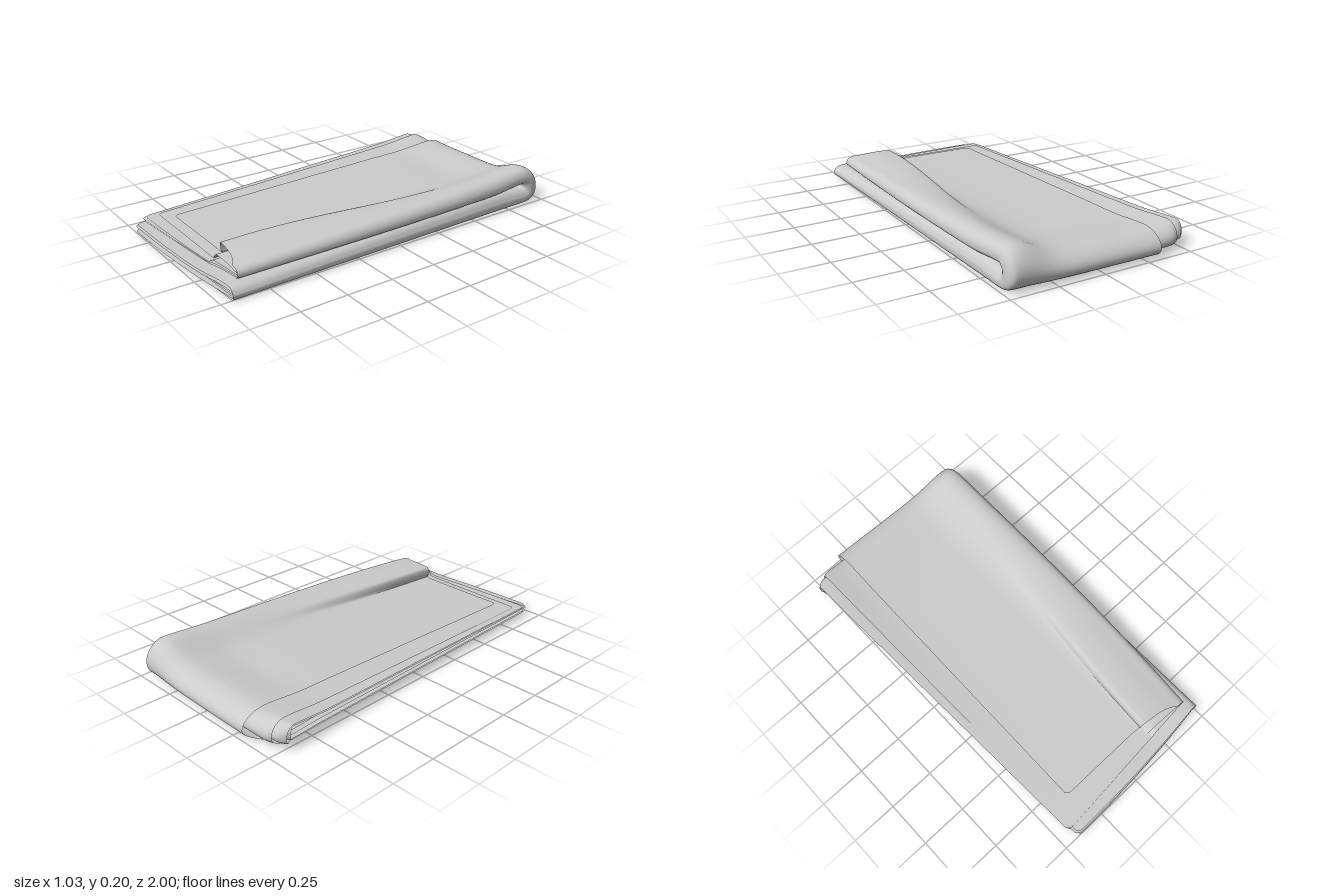
import * as THREE from 'three';

const { lerp, clamp, smoothstep } = THREE.MathUtils;
const bell = (x, c, w) => Math.exp(-(((x - c) / w) ** 2));

// Depth inside the folded stack: 0 is the outermost layer, 1 the centre plane
const DEPTHS = [0, 0.28, 0.45, 0.6, 0.75, 0.9];
const byDepth = (values, d) => {
  let i = 0;
  while (i < DEPTHS.length - 2 && d > DEPTHS[i + 1]) i++;
  return lerp(values[i], values[i + 1], (d - DEPTHS[i]) / (DEPTHS[i + 1] - DEPTHS[i]));
};

// Open left edges (x) and front hems (z) of the layers, per depth
const LEFT = {
  topBack: [-0.32, -0.46, -0.52, -0.515, -0.5, -0.48],
  topFront: [-0.325, -0.415, -0.44, -0.44, -0.42, -0.41],
  bottomBack: [-0.41, -0.465, -0.49, -0.5, -0.49, -0.48],
  bottomFront: [-0.4, -0.415, -0.43, -0.43, -0.42, -0.41],
};
const HEM = {
  top: [0.82, 0.87, 0.93, 0.95, 0.95, 0.95],
  bottom: [0.965, 1.0, 0.95, 0.96, 1.0, 0.99],
};
const BACK_Z = -0.87, BACK_R = 0.13;

// Height of the stack; s runs from 0 at the back to 1 at the front
function stackHeight(x, s) {
  return lerp(0.12, 0.075, s)
    + lerp(0.07, 0.032, s * s) * bell(x, 0.42, 0.14)
    + 0.01 * bell(s, 0, 0.1)
    - 0.01 * bell(s, 0.12, 0.08) * bell(x, 0, 0.3)
    + 0.028 * bell(x, -0.5, 0.12) * (1 - s);
}

// Point on a layer: part is bottom, bend or top, k is 0..1 along that part,
// f is 0..1 across the width, d the depth, bulge the rounding of the side fold
function clothPoint(part, k, f, d, bulge, width) {
  const s = part === 'bottom' ? 1 - k : part === 'top' ? k : 0;
  const turn = part === 'bottom' ? 0 : part === 'top' ? 1 : k;
  const left = lerp(
    lerp(byDepth(LEFT.bottomBack, d), byDepth(LEFT.bottomFront, d), s),
    lerp(byDepth(LEFT.topBack, d), byDepth(LEFT.topFront, d), s), smoothstep(turn, 0, 0.35));
  const right = lerp(lerp(0.49, 0.512, s), 0.487 + 0.05 * s - 0.082 * s * s, turn);
  let x = lerp(left, right - width, f) + bulge;

  // The halves press together except for a small opening at the back fold
  const h = stackHeight(x, s);
  const mid = h * (0.5 + 0.06 * s);
  const press = d * lerp(1, 1.12, smoothstep(s, 0, 0.12));
  const low = mid * press ** 1.5;
  let high = h - press * (h - mid);
  if (part === 'bend') {
    const a = k * Math.PI;
    const rise = ((1 - Math.cos(a)) / 2) ** 1.3;
    const cornerCut = 1 - 2 * d * d * clamp(1 - f / 0.05, 0, 1) ** 2;
    const r = (BACK_R - 0.015 * f) * (1 - d) * Math.max(cornerCut, 0.2);
    return [x, lerp(low, high, rise), BACK_Z - r * Math.sin(a)];
  }
  // Hem slants towards the right and is rounded at the left corner
  const hem = part === 'top'
    ? lerp(byDepth(HEM.top, d), 0.885, f ** Math.max(1, 8 - 14 * d))
    : lerp(byDepth(HEM.bottom, d), 0.942, f * f);
  const corner = 0.02 * clamp(1 - f / 0.03, 0, 1) ** 2;
  const z = lerp(BACK_Z, hem - corner, s);
  if (part === 'bottom') return [x, low, z];

  // Overhanging pleat along the right of the top, fading out to the back
  const pleat = smoothstep(s, 0.2, 0.95) * (1 - d) ** 2;
  const line = lerp(0.37, 0.27, s ** 0.7);
  high += pleat * 0.05 * smoothstep(x, line - 0.05, line) * (1 - 0.8 * smoothstep(x, line, 0.43));
  x -= pleat * 0.07 * bell(x, line, 0.05);
  return [x, high, z];
}

// A sheet doubled along its right side, then folded over at the back
function foldedSheet(outer, inner) {
  const rows = [];
  for (let i = 0; i < 40; i++) rows.push(['bottom', i / 40]);
  for (let i = 0; i < 20; i++) rows.push(['bend', i / 20]);
  for (let i = 0; i <= 48; i++) rows.push(['top', i / 48]);

  const width = 0.055 * (inner - outer);
  const columns = [];
  for (let i = 0; i < 48; i++) columns.push([i / 48, outer, 0]);
  for (let i = 0; i <= 14; i++) {
    const a = (i / 14) * Math.PI;
    const bulge = width * Math.max(0, Math.sin(a)) ** 0.7;
    columns.push([1, lerp(outer, inner, (1 - Math.cos(a)) / 2), bulge]);
  }
  for (let i = 47; i >= 0; i--) columns.push([i / 48, inner, 0]);

  const positions = [], index = [], n = columns.length;
  rows.forEach(([part, k], r) => columns.forEach(([f, d, bulge], c) => {
    positions.push(...clothPoint(part, k, f, d, bulge, width));
    if (r && c) {
      const p = r * n + c;
      index.push(p - n - 1, p - n, p - 1, p - n, p, p - 1);
    }
  }));
  const geometry = new THREE.BufferGeometry();
  geometry.setAttribute('position', new THREE.Float32BufferAttribute(positions, 3));
  geometry.setIndex(index);
  geometry.computeVertexNormals();
  return geometry;
}

export function createModel() {
  const group = new THREE.Group();
  group.name = 'foldedCloth';
  const material = new THREE.MeshStandardMaterial({ color: 0xcccccc, side: THREE.DoubleSide });
  const sheets = [
    ['outerSheet', 0, 0.89],
    ['middleSheet', 0.28, 0.74],
    ['innerSheet', 0.45, 0.6],
  ];
  for (const [name, outer, inner] of sheets) {
    const mesh = new THREE.Mesh(foldedSheet(outer, inner), material);
    mesh.name = name;
    group.add(mesh);
  }
  return group;
}
